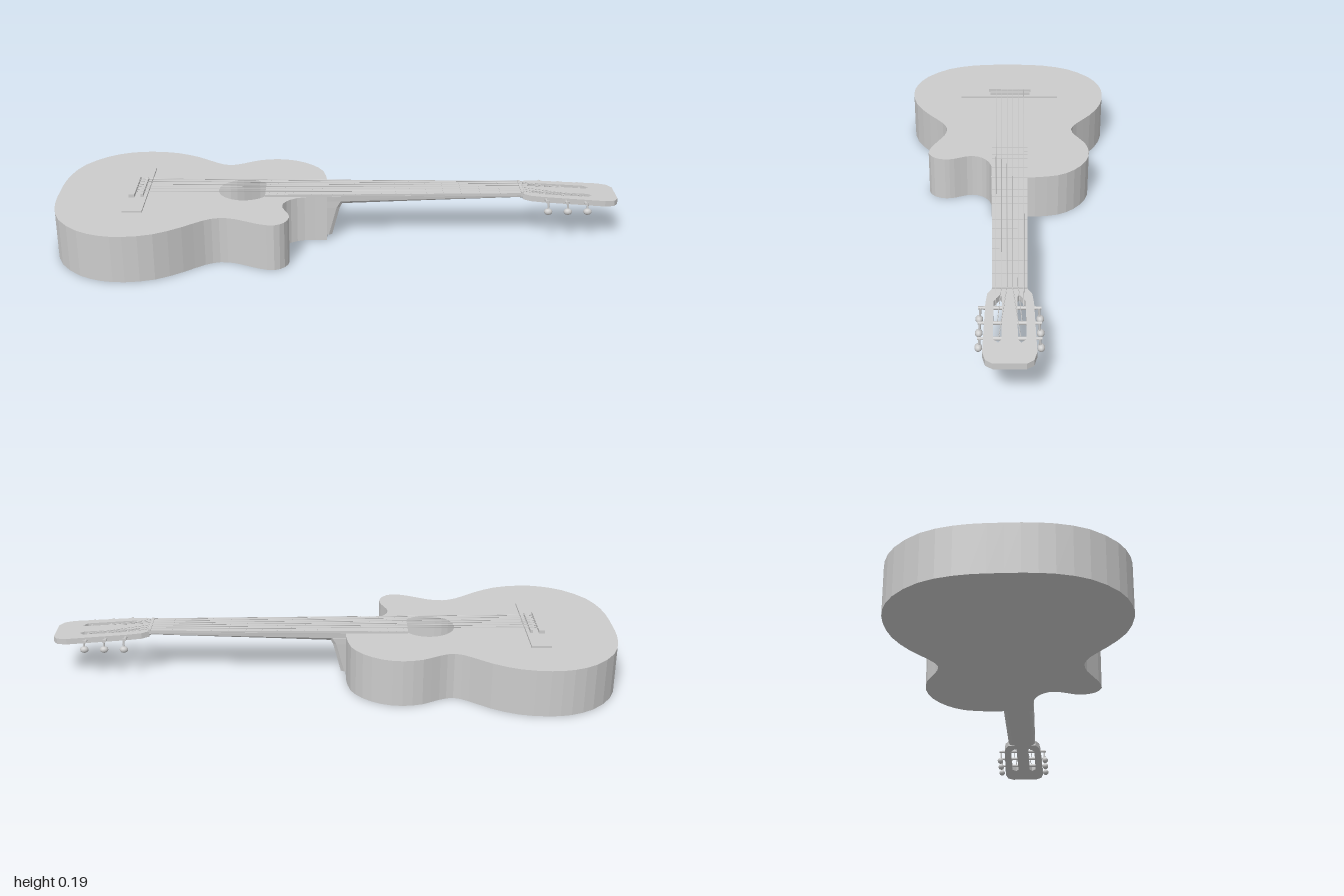
import * as THREE from 'three';

const mat = new THREE.MeshStandardMaterial({ color: 0xcccccc, flatShading: true });
const openMat = new THREE.MeshStandardMaterial({ color: 0xcccccc, flatShading: true, side: THREE.DoubleSide });
const smoothMat = new THREE.MeshStandardMaterial({ color: 0xcccccc });
const MID = -0.008; // centre line of neck, strings and soundhole

function add(parent, name, geometry, material = mat) {
  const mesh = new THREE.Mesh(geometry, material);
  mesh.name = name;
  parent.add(mesh);
  return mesh;
}

// Box given by its limits on each axis
function block(parent, name, [x0, x1], [y0, y1], [z0, z1]) {
  const mesh = add(parent, name, new THREE.BoxGeometry(x1 - x0, y1 - y0, z1 - z0));
  mesh.position.set((x0 + x1) / 2, (y0 + y1) / 2, (z0 + z1) / 2);
  return mesh;
}

// Horizontal plate from [x, z] outline points, with optional hole outlines
function slab(points, y0, y1, holes = []) {
  const flip = (list) => list.map(([x, z]) => new THREE.Vector2(x, -z));
  const shape = new THREE.Shape(flip(points));
  holes.forEach((h) => shape.holes.push(new THREE.Path(flip(h))));
  return new THREE.ExtrudeGeometry(shape, { depth: y1 - y0, bevelEnabled: false })
    .rotateX(-Math.PI / 2).translate(0, y0, 0);
}

// Skin over closed rings of equal length
function loft(rings, caps = true) {
  const n = rings[0].length, pos = [];
  const tri = (...corners) => corners.forEach((p) => pos.push(...p));
  for (let k = 0; k < rings.length - 1; k++) {
    for (let i = 0; i < n; i++) {
      const j = (i + 1) % n;
      const a = rings[k][i], b = rings[k][j], c = rings[k + 1][j], d = rings[k + 1][i];
      tri(a, b, d);
      tri(b, c, d);
    }
  }
  if (caps) {
    const s = rings[0], e = rings[rings.length - 1];
    for (let i = 1; i < n - 1; i++) {
      tri(s[0], s[i + 1], s[i]);
      tri(e[0], e[i], e[i + 1]);
    }
  }
  const g = new THREE.BufferGeometry();
  g.setAttribute('position', new THREE.Float32BufferAttribute(pos, 3));
  g.computeVertexNormals();
  return g;
}

// Thin rod between two points
function rod(parent, name, a, b, radius, sides = 8) {
  const p = new THREE.Vector3(...a), q = new THREE.Vector3(...b);
  const dir = q.clone().sub(p);
  const mesh = add(parent, name, new THREE.CylinderGeometry(radius, radius, dir.length(), sides), smoothMat);
  mesh.position.copy(p).add(q).multiplyScalar(0.5);
  mesh.quaternion.setFromUnitVectors(new THREE.Vector3(0, 1, 0), dir.normalize());
  return mesh;
}

function makeBody(guitar) {
  const body = new THREE.Group();
  body.name = 'body';
  guitar.add(body);
  // Outline runs from the cutaway round the lower bout to the upper shoulder
  const outline = [
    [-0.04, 0.06], [-0.12, 0.06], [-0.168, 0.08], [-0.194, 0.115], [-0.194, 0.153], [-0.175, 0.2],
    [-0.17, 0.235], [-0.185, 0.275], [-0.22, 0.297], [-0.275, 0.285], [-0.355, 0.245], [-0.41, 0.236],
    [-0.46, 0.255], [-0.53, 0.31], [-0.62, 0.365], [-0.72, 0.385], [-0.8, 0.375], [-0.88, 0.335],
    [-0.955, 0.25], [-0.99, 0.15], [-1, 0.05], [-1, -0.05], [-0.99, -0.15], [-0.955, -0.25],
    [-0.88, -0.335], [-0.8, -0.375], [-0.72, -0.385], [-0.62, -0.37], [-0.53, -0.325], [-0.46, -0.27],
    [-0.41, -0.245], [-0.36, -0.26], [-0.3, -0.293], [-0.23, -0.305], [-0.16, -0.29], [-0.095, -0.245],
    [-0.055, -0.185], [-0.04, -0.1],
  ];
  const curve = new THREE.CatmullRomCurve3(outline.map(([x, z]) => new THREE.Vector3(x, 0, z)));
  const edge = curve.getPoints(74).map((p) => [Math.max(p.x, -1), p.z]);
  const hole = Array.from({ length: 32 }, (_, i) => {
    const t = (i / 32) * Math.PI * 2;
    return [-0.335 + 0.095 * Math.cos(t), MID + 0.095 * Math.sin(t)];
  });
  add(body, 'back', slab(edge, 0, 0.006));
  add(body, 'soundboard', slab(edge, 0.162, 0.169, [hole]));
  add(body, 'sides', loft([0.002, 0.167].map((y) => edge.map(([x, z]) => [x, y, z])), false), openMat);

  // Bridge with tie block and saddle
  block(body, 'bridge', [-0.75, -0.68], [0.168, 0.176], [-0.2, 0.19]);
  block(body, 'tieBlock', [-0.742, -0.722], [0.175, 0.188], [MID - 0.085, MID + 0.085]);
  block(body, 'saddle', [-0.701, -0.692], [0.175, 0.188], [MID - 0.08, MID + 0.08]);
}

function makeNeck(guitar) {
  const neck = new THREE.Group();
  neck.name = 'neck';
  guitar.add(neck);
  // Rounded underside: [x, half width, depth below the fretboard]
  const shaft = [[-0.04, 0.064, 0.05], [0.01, 0.064, 0.042], [0.3, 0.06, 0.03], [0.62, 0.055, 0.017], [0.68, 0.054, 0.018]];
  add(neck, 'neckShaft', loft(shaft.map(([x, w, d]) => Array.from({ length: 13 }, (_, i) => {
    const t = Math.PI / 2 + (i / 12) * Math.PI;
    return [x, 0.171 - d * Math.sqrt(Math.abs(Math.cos(t))), MID + w * Math.sin(t)];
  }))));
  // Tapered heel: [y, front x, half width]
  const heel = [[0.15, 0.02, 0.063], [0.125, 0.006, 0.062], [0.07, -0.008, 0.057], [0.014, -0.022, 0.052]];
  add(neck, 'heel', loft(heel.map(([y, x, w]) => [
    [-0.046, y, MID - w], [x - 0.012, y, MID - w], [x, y, MID - w * 0.86],
    [x, y, MID + w * 0.86], [x - 0.012, y, MID + w], [-0.046, y, MID + w],
  ])));
  add(neck, 'fretboard', slab([[-0.26, MID - 0.067], [0.655, MID - 0.055], [0.655, MID + 0.055], [-0.26, MID + 0.067]], 0.168, 0.178));
  // Frets follow equal-tempered spacing
  const scale = 0.655 + 0.697;
  for (let i = 1; i <= 19; i++) {
    const x = 0.655 - scale * (1 - 2 ** (-i / 12));
    const w = 0.067 - 0.012 * (x + 0.26) / 0.915;
    block(neck, 'fret', [x - 0.0015, x + 0.0015], [0.177, 0.1795], [MID - w, MID + w]);
  }
  block(neck, 'nut', [0.653, 0.662], [0.165, 0.182], [MID - 0.055, MID + 0.055]);
}

const headTop = (x) => 0.176 - 0.063 * (x - 0.66);

function makeHead(guitar) {
  const head = new THREE.Group();
  head.name = 'head';
  guitar.add(head);
  const half = [[0.66, 0.056], [0.685, 0.07], [0.73, 0.075], [0.95, 0.081], [0.985, 0.072], [1, 0.05]];
  const mirror = (list) => [...list, ...list.map(([x, z]) => [x, -z]).reverse()];
  const slot = [[0.69, 0.03], [0.7, 0.024], [0.895, 0.024], [0.91, 0.034], [0.895, 0.05], [0.72, 0.05]];
  const shift = (list, s) => list.map(([x, z]) => [x, MID + s * z]);
  const plate = slab(shift(mirror(half), 1), -0.021, 0, [shift(slot, 1), shift(slot, -1)]);
  // Lean the headstock back
  const p = plate.attributes.position;
  for (let i = 0; i < p.count; i++) p.setY(i, p.getY(i) + headTop(p.getX(i)));
  plate.computeVertexNormals();
  add(head, 'headstock', plate);

  // Three tuners on each side: string post, gear peg, stem and button
  for (const s of [-1, 1]) {
    for (const x of [0.74, 0.81, 0.88]) {
      const tuner = new THREE.Group();
      tuner.name = 'tuner';
      head.add(tuner);
      const y = headTop(x) - 0.01;
      const z = (d) => MID + s * d;
      rod(tuner, 'stringPost', [x, y, z(0.02)], [x, y, z(0.08)], 0.006, 10);
      rod(tuner, 'gearPeg', [x, y, z(0.074)], [x, y, z(0.097)], 0.005, 10);
      rod(tuner, 'stem', [x + 0.006, y + 0.003, z(0.09)], [x + 0.006, 0.125, z(0.092)], 0.0035);
      const button = add(tuner, 'tunerButton', new THREE.SphereGeometry(1, 14, 8), smoothMat);
      button.scale.set(0.015, 0.012, 0.012);
      button.position.set(x + 0.006, 0.123, z(0.094));
    }
  }
}

function makeStrings(guitar) {
  const strings = new THREE.Group();
  strings.name = 'strings';
  guitar.add(strings);
  const posts = [0.74, 0.81, 0.88, 0.88, 0.81, 0.74];
  for (let i = 0; i < 6; i++) {
    const f = (i - 2.5) / 2.5;
    const r = 0.0011 + 0.0001 * (5 - i);
    const path = [
      [-0.732, 0.186, MID + f * 0.056], [-0.697, 0.1885, MID + f * 0.056],
      [0.657, 0.1825, MID + f * 0.044],
      [posts[i], headTop(posts[i]) - 0.004, MID + Math.sign(f) * (0.03 + 0.012 * Math.abs(f))],
    ];
    for (let k = 0; k < 3; k++) rod(strings, 'string', path[k], path[k + 1], r, 6);
  }
}

export function createModel() {
  const guitar = new THREE.Group();
  guitar.name = 'guitar';
  makeBody(guitar);
  makeNeck(guitar);
  makeHead(guitar);
  makeStrings(guitar);
  return guitar;
}
